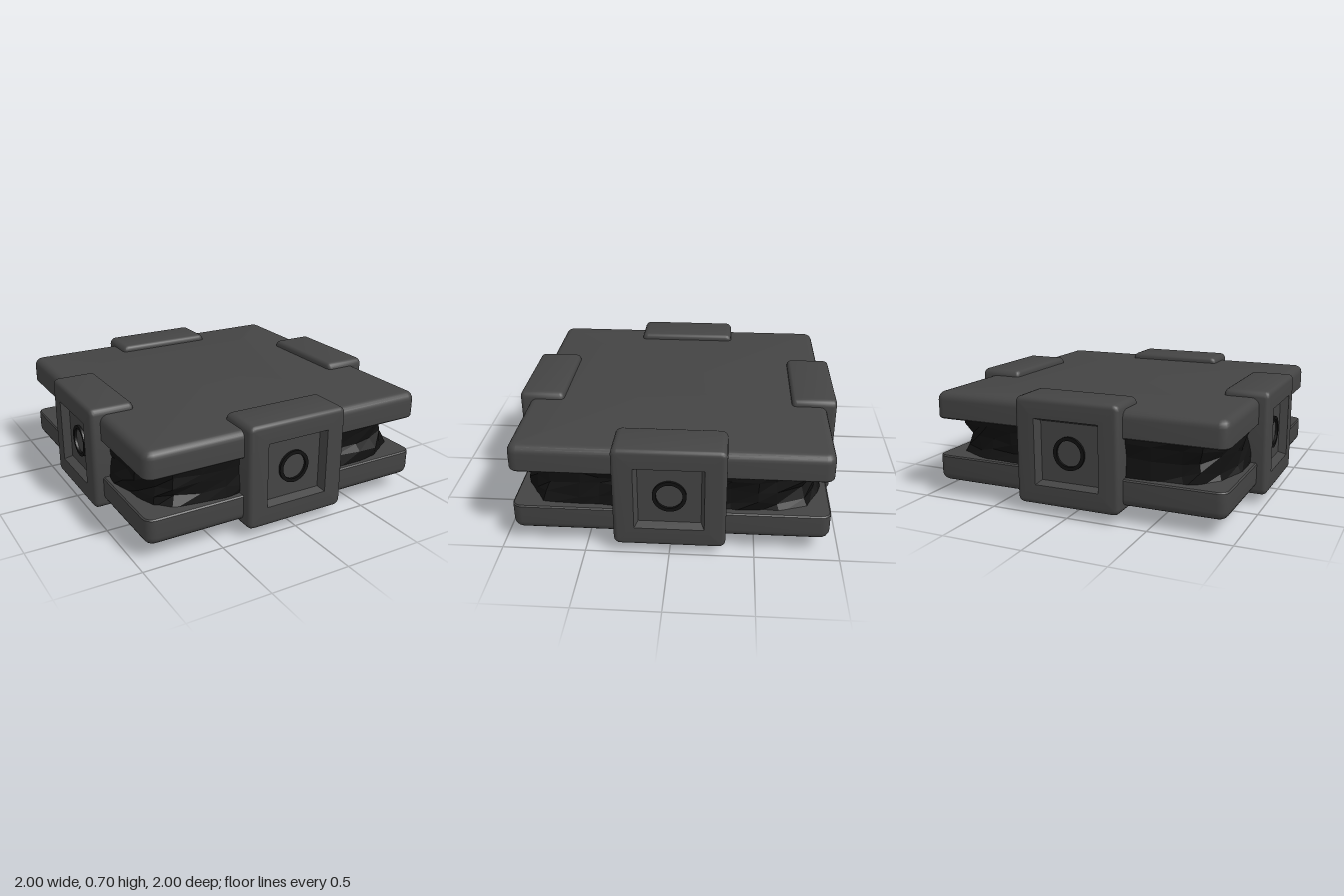
import * as THREE from 'three';
import { toCreasedNormals } from 'three/addons/utils/BufferGeometryUtils.js';

const material = (color, flatShading = false) => new THREE.MeshStandardMaterial({ color, flatShading });

// Outline of a rounded rectangle, counter-clockwise, always 20 points
function roundedRing(w, h, r, z) {
  const points = [];
  for (let corner = 0; corner < 4; corner++) {
    const sx = corner === 0 || corner === 3 ? 1 : -1;
    const sy = corner < 2 ? 1 : -1;
    for (let i = 0; i <= 4; i++) {
      const a = (corner + i / 4) * Math.PI / 2;
      points.push(new THREE.Vector3(sx * (w - r) + r * Math.cos(a), sy * (h - r) + r * Math.sin(a), z));
    }
  }
  return points;
}

// Skin over a stack of rounded rectangles [halfWidth, halfHeight, cornerRadius, z]
function loft(sections) {
  const rings = sections.map(s => roundedRing(...s));
  const positions = [];
  const triangle = (a, b, c) => {
    if (a.distanceTo(b) < 1e-6 || b.distanceTo(c) < 1e-6 || c.distanceTo(a) < 1e-6) return;
    for (const p of [a, b, c]) positions.push(p.x, p.y, p.z);
  };
  for (let k = 0; k < rings.length - 1; k++) {
    const low = rings[k], high = rings[k + 1];
    for (let i = 0; i < low.length; i++) {
      const j = (i + 1) % low.length;
      triangle(low[i], low[j], high[j]);
      triangle(low[i], high[j], high[i]);
    }
  }
  const geometry = new THREE.BufferGeometry();
  geometry.setAttribute('position', new THREE.Float32BufferAttribute(positions, 3));
  return toCreasedNormals(geometry, 0.5);
}

// Quarter-round edge sections that end at z with the given radius
function roundEdge(w, h, r, z) {
  const sections = [];
  for (let i = 0; i <= 5; i++) {
    const a = i / 5 * Math.PI / 2;
    const inset = r * (1 - Math.cos(a));
    sections.push([w - inset, h - inset, Math.max(r - inset, 0) + 0.01, z - r + r * Math.sin(a)]);
  }
  return sections;
}

function plateGeometry() {
  const half = 0.94, thick = 0.165;
  return loft([
    [0, 0, 0, 0], [half - 0.008, half - 0.008, 0.05, 0], [half, half, 0.06, 0.008],
    ...roundEdge(half, half, 0.05, thick), [0, 0, 0, thick],
  ]).rotateX(-Math.PI / 2);
}

function clampGeometry() {
  const w = 0.33, h = 0.3225, r = 0.03, depth = 0.28;
  const back = roundEdge(w, h, r, 0).reverse().map(([a, b, c, z]) => [a, b, c, -z]);
  return loft([
    [0, 0, 0, 0], ...back, ...roundEdge(w, h, r, depth),
    // square recess with sloping walls
    [0.205, 0.2, 0, depth], [0.185, 0.18, 0, depth - 0.05], [0, 0, 0, depth - 0.05],
  ]);
}

function ringGeometry(outer, inner, depth) {
  const shape = new THREE.Shape().absarc(0, 0, outer, 0, Math.PI * 2);
  shape.holes.push(new THREE.Path().absarc(0, 0, inner, 0, Math.PI * 2, true));
  return new THREE.ExtrudeGeometry(shape, { depth, bevelEnabled: false, curveSegments: 32 });
}

// Rough, faceted, squarish lump with a slight waist
function coreGeometry() {
  const columns = 52, rows = 4;
  const geometry = new THREE.CylinderGeometry(1, 1, 0.27, columns, rows, true);
  const p = geometry.attributes.position;
  const noise = (a, b) => {
    const s = Math.sin(a * 127.1 + b * 311.7) * 43758.5453;
    return s - Math.floor(s);
  };
  for (let i = 0; i < p.count; i++) {
    const column = (i % (columns + 1)) % columns;
    const row = Math.floor(i / (columns + 1));
    const a = (column + 0.5 * noise(column, 7)) / columns * Math.PI * 2;
    const c = Math.cos(a), s = Math.sin(a);
    const waist = 0.025 * Math.sin(row / rows * Math.PI);
    const size = 0.925 - waist - 0.04 * noise(column, row);
    const radius = size * Math.pow(Math.abs(c) ** 7 + Math.abs(s) ** 7, -1 / 7);
    const lift = row > 0 && row < rows ? 0.04 * (noise(column, row + 20) - 0.5) : 0;
    p.setXYZ(i, radius * s, p.getY(i) + lift, radius * c);
  }
  geometry.computeVertexNormals();
  return geometry;
}

function footGeometry() {
  const profile = [
    [0.35, 0.12], [0.35, 0.02], [0.356, 0.006], [0.37, 0], [0.495, 0],
    [0.513, 0.005], [0.526, 0.018], [0.53, 0.035], [0.53, 0.12],
  ].map(([x, y]) => new THREE.Vector2(x, y));
  return toCreasedNormals(new THREE.LatheGeometry(profile, 64), 0.6);
}

export function createModel() {
  const model = new THREE.Group();
  model.name = 'clampedSlab';
  const casing = material(0x444444);
  const black = material(0x111111);
  const add = (parent, name, geometry, mat, y = 0, z = 0) => {
    const mesh = new THREE.Mesh(geometry, mat);
    mesh.name = name;
    mesh.position.set(0, y, z);
    parent.add(mesh);
    return mesh;
  };

  // Two plates, rounded on their outer faces, with the rough core between
  const plate = plateGeometry();
  add(model, 'upperPlate', plate, casing, 0.495);
  add(model, 'lowerPlate', plate, casing, 0.26).rotation.x = Math.PI;
  add(model, 'core', coreGeometry(), material(0x111111, true), 0.3775);

  // Ring foot underneath
  add(model, 'footRing', footGeometry(), black);

  // A clamp with a recessed ring in the middle of each side
  const clampShape = clampGeometry();
  const ringShape = ringGeometry(0.1, 0.078, 0.02);
  ['frontClamp', 'leftClamp', 'backClamp', 'rightClamp'].forEach((name, i) => {
    const clamp = new THREE.Group();
    clamp.name = name;
    clamp.rotation.y = i * Math.PI / 2;
    add(clamp, 'clampBody', clampShape, casing, 0.3775, 0.72);
    add(clamp, 'clampRing', ringShape, black, 0.3775, 0.945);
    model.add(clamp);
  });
  return model;
}
